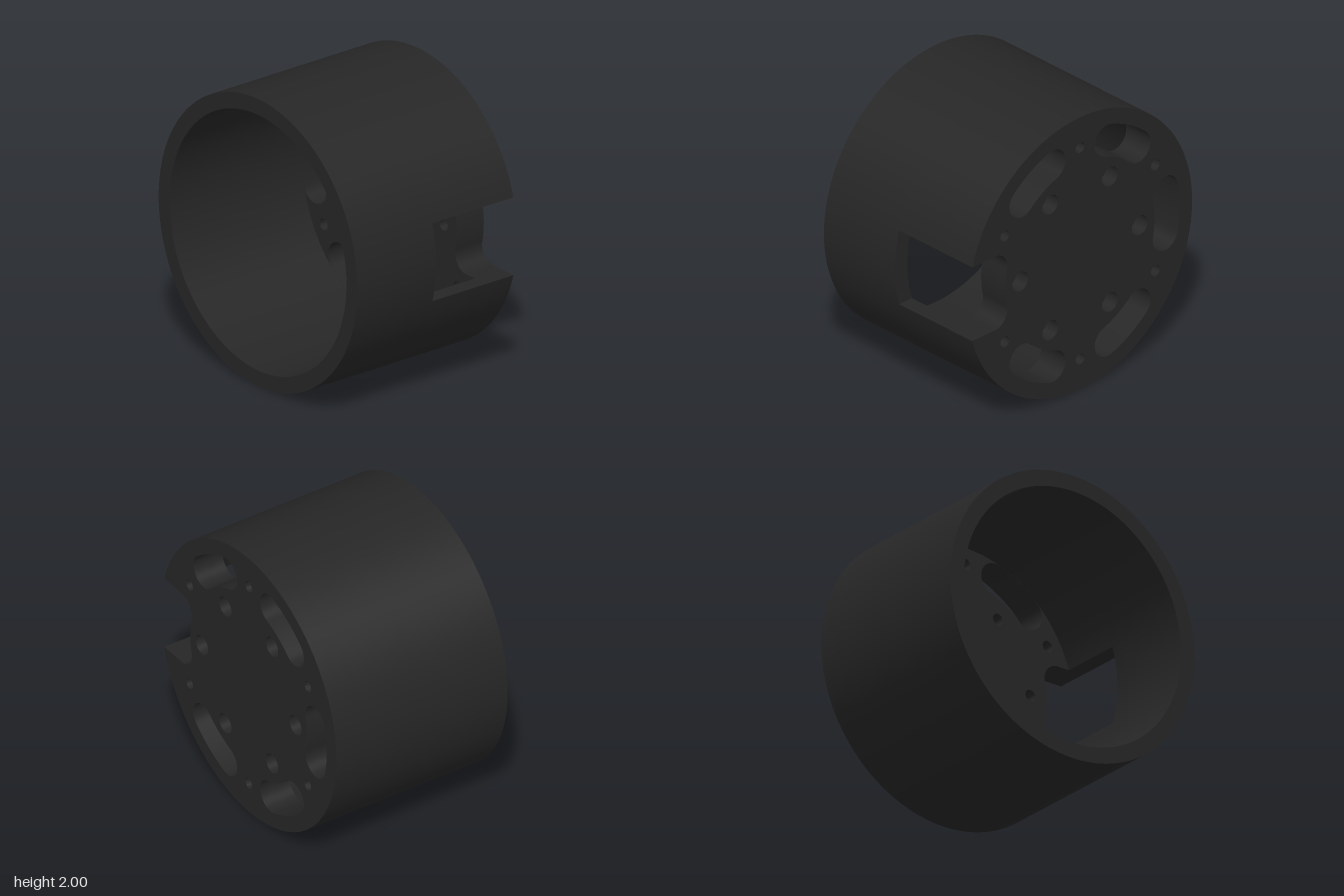
import * as THREE from 'three';
import { toCreasedNormals } from 'three/addons/utils/BufferGeometryUtils.js';

const R = 1, INNER = 0.89;                    // housing wall radii
const X0 = -0.665, XWIN = -0.01, XPLATE = 0.44, XBORE = 0.56, X1 = 0.665;
const SLOT_R = 0.777, SLOT_W = 0.112, SLOT_A = 0.206; // slot centre line, half width, half angle
const NOTCH = SLOT_R * Math.sin(SLOT_A) + SLOT_W;     // half height of the side window
const PI = Math.PI;

// Points along an arc, either direction
function arc(cx, cy, r, a0, a1, n) {
  return Array.from({ length: n + 1 }, (_, i) => {
    const a = a0 + (a1 - a0) * i / n;
    return new THREE.Vector2(cx + r * Math.cos(a), cy + r * Math.sin(a));
  });
}

function circle(cx, cy, r, n) {
  return arc(cx, cy, r, 0, 2 * PI, n).slice(0, -1);
}

// Rounded end of a slot, centred on the slot's centre line at angle t
function lobe(t, a0, a1) {
  return arc(SLOT_R * Math.cos(t), SLOT_R * Math.sin(t), SLOT_W, a0, a1, 20);
}

// Curved slot with round ends around angle t
function slot(t) {
  const s = t - SLOT_A, e = t + SLOT_A;
  return [
    ...arc(0, 0, SLOT_R + SLOT_W, s, e, 16),
    ...lobe(e, e, e + PI).slice(1),
    ...arc(0, 0, SLOT_R - SLOT_W, e, s, 16).slice(1),
    ...lobe(s, s + PI, s + 2 * PI).slice(1, -1),
  ];
}

export function createModel() {
  const group = new THREE.Group();
  const black = new THREE.MeshStandardMaterial({ color: 0x262626 });
  black.name = 'matte black';

  // Extrudes a cross-section along x between two positions
  function section(name, outline, holes, xa, xb) {
    const shape = new THREE.Shape(outline);
    shape.holes = holes.map((h) => new THREE.Path(h));
    const geo = new THREE.ExtrudeGeometry(shape, { depth: xb - xa, bevelEnabled: false });
    geo.rotateY(PI / 2);
    geo.translate(xa, 1, 0);
    const mesh = new THREE.Mesh(toCreasedNormals(geo, 0.5), black);
    mesh.name = name;
    group.add(mesh);
  }

  const b = PI - Math.asin(NOTCH / R);
  const c = PI - Math.asin(NOTCH / INNER);
  const openRim = arc(0, 0, R, -b, b, 144);

  // Full ring at the open end
  section('housingRing', circle(0, 0, R, 160), [circle(0, 0, INNER, 160)], X0, XWIN);

  // Ring interrupted by the side window
  section('windowRing', [...openRim, ...arc(0, 0, INNER, c, -c, 144)], [], XWIN, XPLATE);

  // End plate outline, with the front slot opened out to the rim
  const plate = [
    ...openRim,
    ...lobe(PI - SLOT_A, PI / 2, -SLOT_A),
    ...arc(0, 0, SLOT_R - SLOT_W, PI - SLOT_A, PI + SLOT_A, 16).slice(1),
    ...lobe(PI + SLOT_A, SLOT_A, -PI / 2).slice(1),
  ];

  // Slots and outer holes go right through; inner holes are counterbored
  const through = [];
  const boltHoles = (r) => Array.from({ length: 6 }, (_, i) =>
    circle(0.533 * Math.cos(i * PI / 3), 0.533 * Math.sin(i * PI / 3), r, 32));
  for (let i = 0; i < 6; i++) {
    const t = i * PI / 3, h = t + PI / 6;
    if (i !== 3) through.push(slot(t));
    through.push(circle(SLOT_R * Math.cos(h), SLOT_R * Math.sin(h), 0.039, 32));
  }
  section('endPlateInner', plate, [...through, ...boltHoles(0.04)], XPLATE, XBORE);
  section('endPlateOuter', plate, [...through, ...boltHoles(0.07)], XBORE, X1);

  return group;
}
